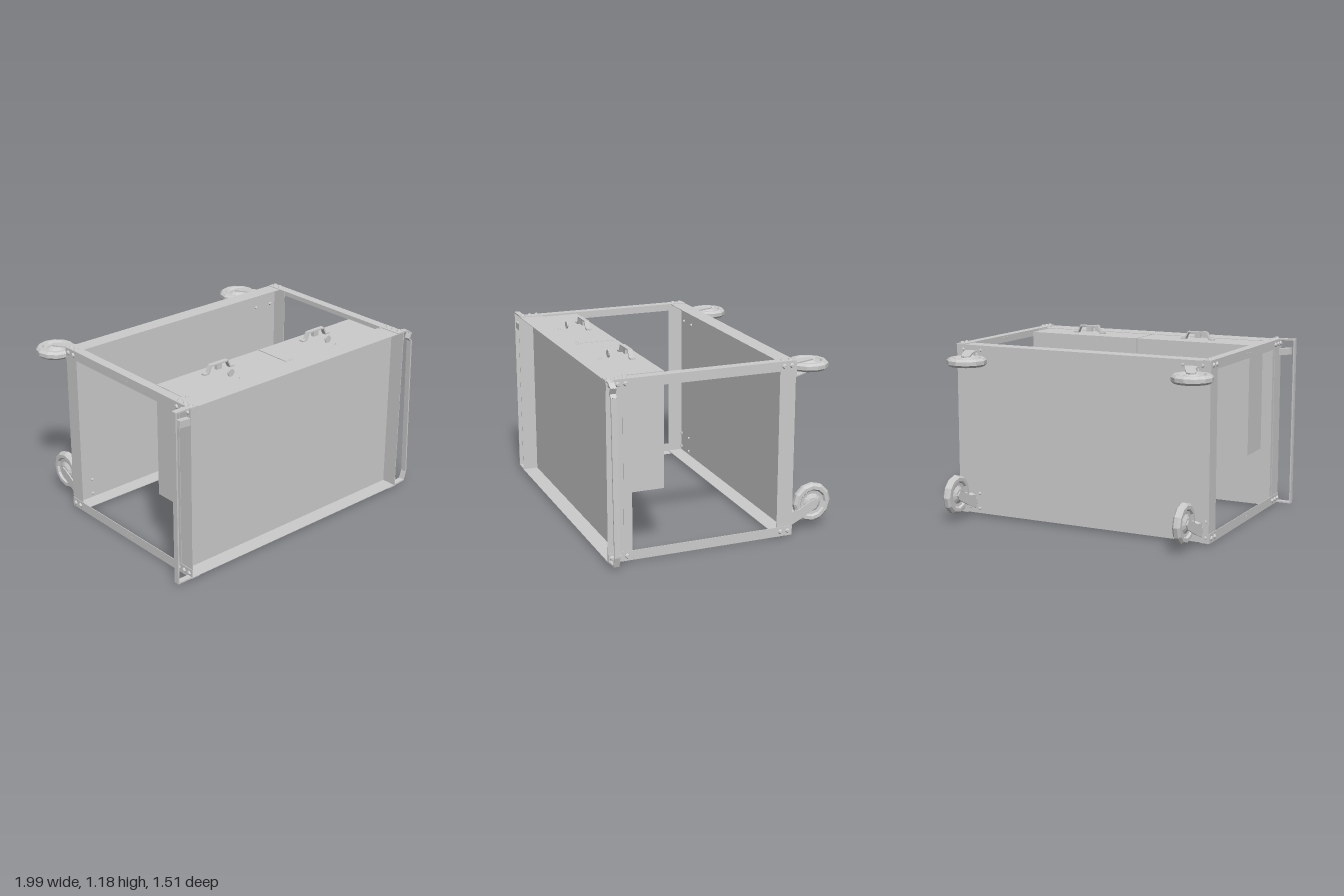
import * as THREE from 'three';

const steel = new THREE.MeshStandardMaterial({ color: 0xcccccc });
steel.name = 'grey steel';

function add(parent, name, geo, x = 0, y = 0, z = 0) {
  const m = new THREE.Mesh(geo, steel);
  m.name = name;
  m.position.set(x, y, z);
  parent.add(m);
  return m;
}

// box given by its min and max corners
function box(parent, name, x0, x1, y0, y1, z0, z1) {
  return add(parent, name, new THREE.BoxGeometry(x1 - x0, y1 - y0, z1 - z0),
    (x0 + x1) / 2, (y0 + y1) / 2, (z0 + z1) / 2);
}

function faceted(geo) {
  const g = geo.toNonIndexed();
  g.computeVertexNormals();
  return g;
}

function group(parent, name) {
  const g = new THREE.Group();
  g.name = name;
  parent.add(g);
  return g;
}

// low domed bolt head pointing along the given axis
function bolt(parent, x, y, z, axis, r = 0.016) {
  const g = new THREE.CylinderGeometry(r * 0.6, r, 0.012, 8);
  const m = add(parent, 'bolt', faceted(g), x, y, z);
  m.quaternion.setFromUnitVectors(new THREE.Vector3(0, 1, 0), axis);
}

// flat bar bent along a path in the xy plane
function bentBar(parent, name, pts, z, depth, thick) {
  for (let i = 0; i < pts.length - 1; i++) {
    const [x0, y0] = pts[i], [x1, y1] = pts[i + 1];
    const len = Math.hypot(x1 - x0, y1 - y0);
    const m = add(parent, name, new THREE.BoxGeometry(len + thick * 0.7, thick, depth),
      (x0 + x1) / 2, (y0 + y1) / 2, z);
    m.rotation.z = Math.atan2(y1 - y0, x1 - x0);
  }
}

const X = 0.89, Y0 = 0.015, Y1 = 1.13, T = 0.004;

// shallow sheet-metal tray open towards +z, its floor between f0 and f1
function tray(parent, name, z0, z1, f0, f1) {
  const g = group(parent, name), a = X - T, lo = Y0 + T, hi = Y1 - T;
  box(g, 'trayFloor', -a, a, lo, hi, f0, f1);
  box(g, 'trayWall', -a, a, hi - T, hi, z0, z1);
  box(g, 'trayWall', -a, a, lo, lo + T, z0, z1);
  box(g, 'trayWall', -a, T - a, lo, hi, z0, z1);
  box(g, 'trayWall', a - T, a, lo, hi, z0, z1);
  return g;
}

// angle-iron post at one corner
function post(parent, sx, top) {
  const g = group(parent, 'cornerPost');
  const yo = top ? Y1 : Y0, sy = top ? 1 : -1;
  const yi = yo - sy * 0.06, yt = yo - sy * T;
  const xs = [sx * X, sx * (X - T)].sort((a, b) => a - b);
  const xw = [sx * X, sx * (X - 0.06)].sort((a, b) => a - b);
  box(g, 'postSide', xs[0], xs[1], Math.min(yo, yi), Math.max(yo, yi), -0.449, 0.754);
  box(g, 'postFace', xw[0], xw[1], Math.min(yo, yt), Math.max(yo, yt), -0.449, 0.754);
  const ax = new THREE.Vector3(sx, 0, 0), ay = new THREE.Vector3(0, sy, 0);
  for (const z of [0.73, 0.683, 0.635, -0.37, -0.42]) {
    bolt(g, sx * (X + 0.005), yo - sy * 0.03, z, ax);
    bolt(g, sx * (X - 0.025), yo + sy * 0.005, z, ay);
  }
  for (const z of [0.125, 0.172]) {
    bolt(g, sx * (X - 0.004), yo - sy * 0.03, z, ax, 0.009);
    bolt(g, sx * (X - 0.03), yo - sy * 0.004, z, ay, 0.009);
  }
}

// swivel caster trailing towards its own +y, wheel axle along its own x
function caster(parent, x, y, angle) {
  const g = group(parent, 'caster');
  g.position.set(x, y, -0.45);
  const swivel = add(g, 'swivel', faceted(new THREE.CylinderGeometry(0.05, 0.045, 0.035, 10)), 0, 0, -0.0175);
  swivel.rotation.x = Math.PI / 2;
  // fork cheeks, drawn as (z, y) and leaning in towards the hub
  const s = new THREE.Shape([[-0.01, -0.045], [-0.09, -0.01], [-0.195, 0.045], [-0.21, 0.075],
    [-0.185, 0.1], [-0.15, 0.09], [-0.07, 0.05], [-0.01, 0.045]].map(p => new THREE.Vector2(...p)));
  for (const side of [-1, 1]) {
    const geo = new THREE.ExtrudeGeometry(s, { depth: 0.008, bevelEnabled: false });
    geo.rotateY(-Math.PI / 2);
    geo.translate(0.004, 0, 0);
    const cheek = add(g, 'forkCheek', geo, side * 0.044, 0, 0);
    cheek.rotation.y = side * 0.06;
  }
  box(g, 'forkBridge', -0.04, 0.04, -0.035, 0.045, -0.045, -0.03);
  // faceted wheel with a dished hub
  const half = [[0, -0.028], [0.035, -0.026], [0.06, -0.012], [0.08, -0.014], [0.09, -0.026], [0.112, -0.026], [0.127, -0.012]];
  const prof = half.concat(half.slice().reverse().map(([r, h]) => [r, -h])).map(p => new THREE.Vector2(...p));
  const wheel = add(g, 'wheel', faceted(new THREE.LatheGeometry(prof, 12)), 0, 0.075, -0.176);
  wheel.rotation.z = Math.PI / 2;
  g.rotation.z = angle;
}

// drawer with pull and lock on its +y front
function drawer(parent, x0, x1) {
  const g = group(parent, 'drawer'), c = (x0 + x1) / 2;
  box(g, 'drawerBody', x0, x1, 0.4, 1.123, 0.36, 0.6);
  bentBar(g, 'drawerPull', [[c - 0.115, 1.133], [c - 0.085, 1.133], [c - 0.065, 1.177],
    [c + 0.065, 1.177], [c + 0.085, 1.133], [c + 0.115, 1.133]], 0.447, 0.03, 0.009);
  box(g, 'pullRib', c - 0.02, c + 0.02, 1.14, 1.176, 0.435, 0.46);
  const lock = add(g, 'lockTab', faceted(new THREE.CylinderGeometry(0.024, 0.024, 0.008, 10)), c, 1.15, 0.562);
  lock.rotation.x = Math.PI / 2;
}

export function createModel() {
  const cart = new THREE.Group();
  cart.name = 'utilityCart';

  const upper = tray(cart, 'upperTray', 0.6, 0.755, 0.6, 0.655);
  tray(cart, 'lowerTray', -0.45, -0.345, -0.45, -0.446);
  // pressed bead on the upper tray ends
  for (const s of [-1, 1]) box(upper, 'trayBead', s * 0.887 - 0.002, s * 0.887 + 0.002, 0.07, 1.075, 0.63, 0.654);

  for (const sx of [-1, 1]) for (const top of [true, false]) post(cart, sx, top);

  drawer(cart, -0.815, -0.016);
  drawer(cart, -0.008, 0.79);
  // screws holding the drawers
  const up = new THREE.Vector3(0, 1, 0);
  for (const x of [-0.8, -0.39, -0.02, 0.02, 0.41, 0.81]) bolt(cart, x, 1.13, 0.62, up, 0.012);

  // side rails, the left one bent out of shape
  const rails = group(cart, 'sideRails');
  bentBar(rails, 'rightRail', [[-0.885, 1.127], [-0.99, 1.127], [-0.988, 0.022], [-0.885, 0.022]], 0.735, 0.036, 0.01);
  bentBar(rails, 'leftRail', [[0.885, 1.127], [0.925, 1.122], [0.962, 1.1], [0.945, 1.065], [0.966, 1.045],
    [0.978, 0.6], [0.993, 0.09], [0.975, 0.03], [0.885, 0.022]], 0.735, 0.036, 0.01);
  const block = box(rails, 'railBlock', -0.965, -0.885, 1.025, 1.068, 0.717, 0.753);
  block.rotation.z = -0.08;

  // casters, and their bolts through the lower tray
  const back = new THREE.Vector3(0, 0, -1), front = new THREE.Vector3(0, 0, 1);
  for (const [x, y, a] of [[-0.8, 0.1, 0], [0.8, 0.1, 0], [-0.768, 1.045, Math.PI / 2], [0.775, 1.045, Math.PI / 2]]) {
    caster(cart, x, y, a);
    for (const dx of [-0.065, 0.065]) for (const dy of [-0.05, 0.05]) {
      bolt(cart, x + dx, y + dy, -0.453, back, 0.012);
      bolt(cart, x + dx, y + dy, -0.442, front, 0.012);
    }
  }
  return cart;
}
